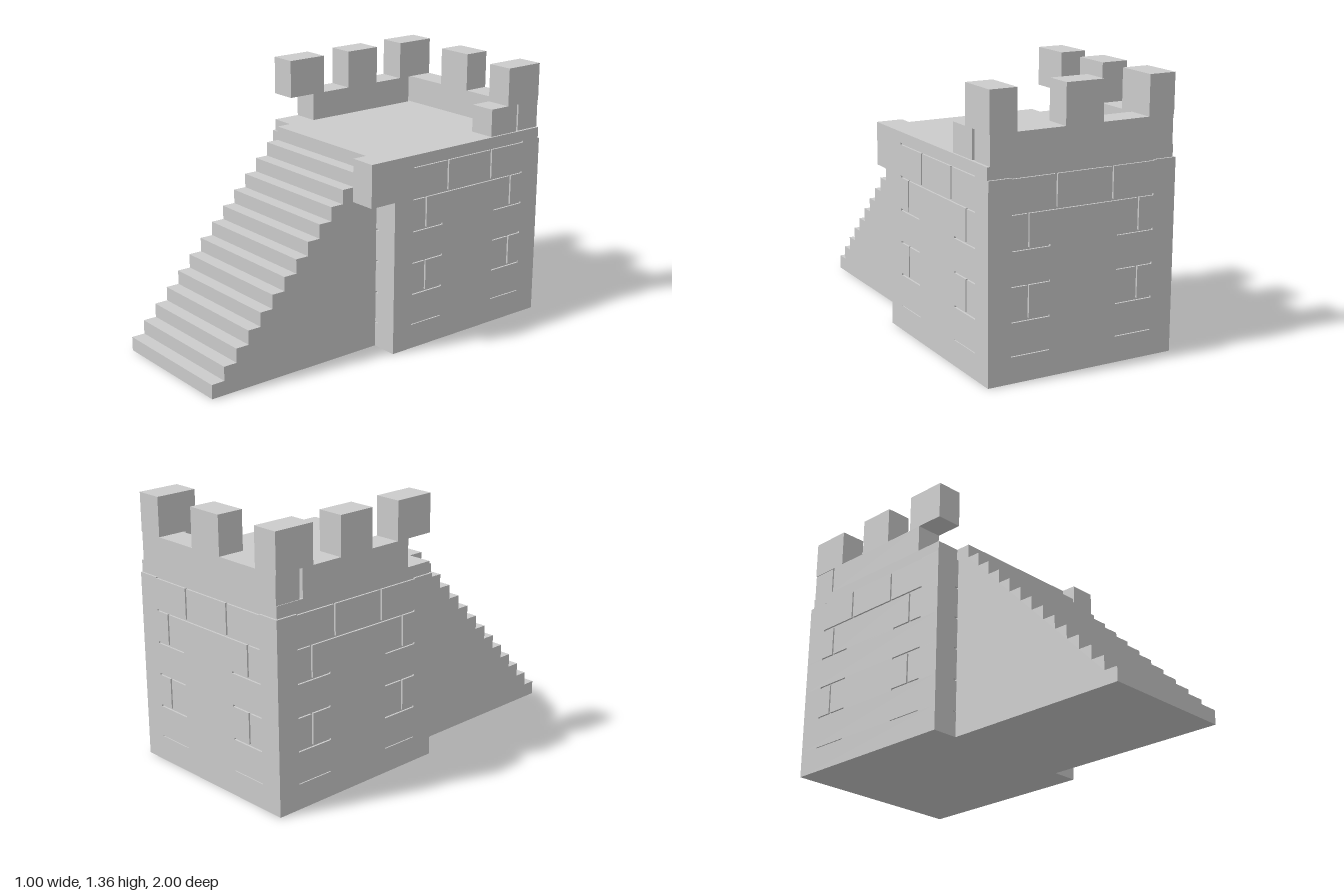
import * as THREE from 'three';

const material = new THREE.MeshStandardMaterial({ color: 0xcccccc, flatShading: true });

// Box given by its min and max on each axis
function block(parent, name, [x0, x1], [y0, y1], [z0, z1]) {
  const mesh = new THREE.Mesh(new THREE.BoxGeometry(x1 - x0, y1 - y0, z1 - z0), material);
  mesh.position.set((x0 + x1) / 2, (y0 + y1) / 2, (z0 + z1) / 2);
  mesh.name = name;
  parent.add(mesh);
  return mesh;
}

// Thin brick facing, 1 unit wide, facing +z; mortar grooves are gaps between its blocks
function brickFacing(name) {
  const facing = new THREE.Group();
  facing.name = name;
  const g = 0.005;
  const long = [[-0.38, 0.38]];
  const short = [[-0.38, -0.18], [0.18, 0.38]];
  const joints = (u) => [[-u - g, -u + g], [u - g, u + g]];
  // Top of each band and the gaps along it, from the ground up
  const bands = [
    [0.128, []], [0.132, short],
    [0.29, []], [0.3, short], [0.457, joints(0.295)], [0.467, short],
    [0.623, []], [0.633, short], [0.79, joints(0.295)], [0.8, long],
    [0.955, joints(0.15)], [0.96, long],
  ];
  let y = 0;
  for (const [top, gaps] of bands) {
    let u = -0.5;
    for (const [a, b] of [...gaps, [0.5, 0.5]]) {
      block(facing, 'facingBrick', [u, a], [y, top], [-0.01, 0]);
      u = b;
    }
    y = top;
  }
  return facing;
}

export function createModel() {
  const model = new THREE.Group();
  model.name = 'castleStairBlock';

  // Solid core with the deck on top
  block(model, 'core', [-0.49, 0.49], [0, 1.02], [-0.99, -0.01]);

  // Four brick facings around the core
  ['frontFacing', 'leftFacing', 'backFacing', 'rightFacing'].forEach((name, i) => {
    const facing = brickFacing(name);
    const a = (i * Math.PI) / 2;
    facing.rotation.y = a;
    facing.position.set(0.5 * Math.sin(a), 0, -0.5 + 0.5 * Math.cos(a));
    model.add(facing);
  });

  // Left deck edge, flush with the facing, and the corner block beside the stairs
  block(model, 'deckEdge', [0.49, 0.5], [0.965, 1.02], [-0.99, 0]);
  block(model, 'deckEdgeBack', [0.49, 0.5], [0.96, 0.965], [-0.99, -0.88]);
  block(model, 'deckEdgeFront', [0.49, 0.5], [0.96, 0.965], [-0.12, 0]);
  block(model, 'cornerBlock', [0.36, 0.5], [0.8, 1.02], [-0.01, 0.15]);

  // Stairs: stepped side profile extruded across the width
  const steps = 14;
  const profile = new THREE.Shape();
  profile.moveTo(-0.01, 0);
  profile.lineTo(1, 0);
  for (let i = 0; i < steps; i++) {
    const y = (1.02 * (i + 1)) / steps;
    profile.lineTo(1 - i / steps, y);
    if (i < steps - 1) profile.lineTo(1 - (i + 1) / steps, y);
  }
  profile.lineTo(-0.01, 1.02);
  const stairs = new THREE.Mesh(
    new THREE.ExtrudeGeometry(profile, { depth: 0.72, bevelEnabled: false }), material);
  stairs.rotation.y = -Math.PI / 2;
  stairs.position.x = 0.36;
  stairs.name = 'stairs';
  model.add(stairs);

  // Parapet walls, with narrow slits at the back corners
  const low = [1.02, 1.163];
  block(model, 'backParapet', [-0.486, 0.486], low, [-0.99, -0.85]);
  block(model, 'rightParapet', [-0.49, -0.35], low, [-0.835, -0.16]);
  block(model, 'leftParapetStub', [0.35, 0.49], low, [-0.835, -0.655]);

  // Merlons; the front one overhangs its wall
  const high = [1.163, 1.36];
  for (const z of [[-0.23, -0.01], [-0.6, -0.4], [-0.99, -0.77]]) {
    block(model, 'rightMerlon', [-0.49, -0.35], high, z);
  }
  block(model, 'backMerlon', [-0.1, 0.1], high, [-0.99, -0.85]);
  block(model, 'leftMerlon', [0.35, 0.49], high, [-0.99, -0.77]);

  return model;
}
